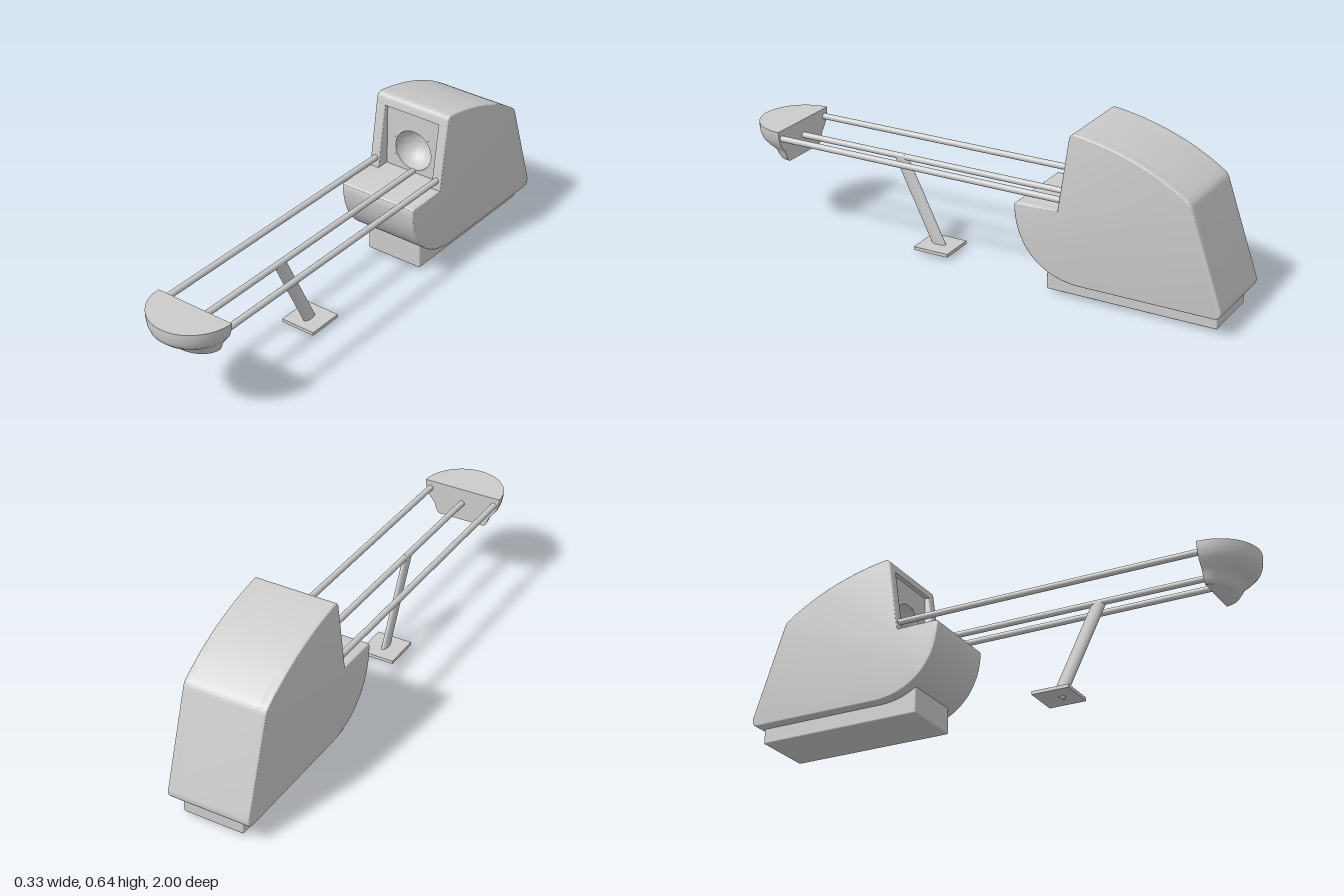
import * as THREE from 'three';
import { toCreasedNormals } from 'three/addons/utils/BufferGeometryUtils.js';
import { RoundedBoxGeometry } from 'three/addons/geometries/RoundedBoxGeometry.js';

const grey = new THREE.MeshStandardMaterial({ color: 0xcccccc });
const greyDouble = new THREE.MeshStandardMaterial({ color: 0xcccccc, side: THREE.DoubleSide });

const HALF_WIDTH = 0.164;
const RECESS_HALF = 0.123;
const RECESS_TOP = 0.592;
const PANEL_Z = -0.42;
const LEDGE_Y = 0.335;

// Skin through rows of points; closed joins the last point of each row to the first
function loft(rows, closed) {
  const n = rows[0].length;
  const index = [];
  for (let i = 0; i < rows.length - 1; i++) {
    for (let j = 0; j < (closed ? n : n - 1); j++) {
      const k = (j + 1) % n;
      const a = i * n + j, b = i * n + k, c = a + n, d = b + n;
      index.push(a, b, c, b, d, c);
    }
  }
  const geo = new THREE.BufferGeometry();
  geo.setAttribute('position', new THREE.Float32BufferAttribute(rows.flat(2), 3));
  geo.setIndex(index);
  return toCreasedNormals(geo, 0.6);
}

// Side outline in (z, y): over the hood, down the back, under and up the nose
function traceHull(path) {
  path.lineTo(-0.405, 0.612);
  path.quadraticCurveTo(-0.409, 0.636, -0.43, 0.634);
  path.quadraticCurveTo(-0.68, 0.60, -0.86, 0.474);
  path.quadraticCurveTo(-0.87, 0.466, -0.875, 0.45);
  path.lineTo(-0.996, 0.10);
  path.quadraticCurveTo(-1.005, 0.064, -0.97, 0.062);
  path.lineTo(-0.45, 0.062);
  path.bezierCurveTo(-0.30, 0.066, -0.195, 0.17, -0.192, 0.322);
  path.quadraticCurveTo(-0.192, LEDGE_Y, -0.205, LEDGE_Y);
  return path;
}

export function createModel() {
  const model = new THREE.Group();
  const add = (name, geo, x = 0, y = 0, z = 0, material = grey) => {
    const mesh = new THREE.Mesh(geo, material);
    mesh.name = name;
    mesh.position.set(x, y, z);
    model.add(mesh);
    return mesh;
  };

  // Housing sides: full-profile slabs with softened edges
  const bevel = 0.005;
  const thickness = HALF_WIDTH - RECESS_HALF;
  const profile = traceHull(new THREE.Shape().moveTo(-0.365, LEDGE_Y));
  const slab = toCreasedNormals(new THREE.ExtrudeGeometry(profile, {
    depth: thickness - 2 * bevel, curveSegments: 20,
    bevelSize: bevel, bevelThickness: bevel, bevelOffset: -bevel, bevelSegments: 3,
  }).rotateY(-Math.PI / 2).translate(thickness / 2 - bevel, 0, 0), 0.6);
  for (const [side, s] of [['left', 1], ['right', -1]]) {
    add(side + 'HousingSide', slab, s * (RECESS_HALF + thickness / 2));
  }

  // Housing skin between the sides, folded inward around the recess
  const fold = traceHull(new THREE.Path().moveTo(PANEL_Z, RECESS_TOP).lineTo(-0.402, RECESS_TOP));
  fold.lineTo(PANEL_Z, LEDGE_Y);
  const foldPoints = fold.getPoints(20);
  const skinRows = [0.156, -0.156].map(x => foldPoints.map(p => [x, p.y, p.x]));
  add('housingSkin', loft(skinRows, false), 0, 0, 0, greyDouble);

  // Recessed front panel with a round opening
  const holeY = 0.429;
  const holeR = 0.092;
  const w = RECESS_HALF + 0.005;
  const panel = new THREE.Shape()
    .moveTo(-w, LEDGE_Y).lineTo(w, LEDGE_Y).lineTo(w, RECESS_TOP).lineTo(-w, RECESS_TOP);
  panel.holes.push(new THREE.Path().absarc(0, holeY, holeR, 0, Math.PI * 2, true));
  add('recessPanel', new THREE.ShapeGeometry(panel, 32), 0, 0, PANEL_Z, greyDouble);

  // Flywheel bowl with a narrow rim
  const bowl = [new THREE.Vector2(holeR, 0), new THREE.Vector2(0.082, 0.001)];
  for (let i = 0; i <= 14; i++) {
    const a = (i / 14) * Math.PI / 2;
    bowl.push(new THREE.Vector2(0.082 * Math.cos(a), -0.082 * Math.sin(a)));
  }
  const bowlGeo = toCreasedNormals(new THREE.LatheGeometry(bowl, 48).rotateX(Math.PI / 2), 0.6);
  add('bowl', bowlGeo, 0, holeY, PANEL_Z, greyDouble);

  // Plinth under the housing
  add('plinth', new RoundedBoxGeometry(0.243, 0.117, 0.665, 3, 0.006), 0, 0.0615, -0.6375);

  // Rails: two outer, one lower in the middle
  const rail = (name, x, y, zBack) => {
    const length = 0.84 - zBack;
    add(name, new THREE.CylinderGeometry(0.012, 0.012, length, 20).rotateX(Math.PI / 2),
      x, y, zBack + length / 2);
  };
  rail('leftRail', 0.142, 0.371, -0.40);
  rail('rightRail', -0.142, 0.371, -0.40);
  rail('centreRail', 0, 0.34, PANEL_Z);

  // Front pod: half-oval sections [half width, depth, height], top to bottom
  const sections = [
    [0, 0, 0.403], [0.164, 0.17, 0.403], [0.163, 0.17, 0.385], [0.158, 0.168, 0.362],
    [0.149, 0.161, 0.342], [0.135, 0.142, 0.324], [0.125, 0.118, 0.312], [0.119, 0.1, 0.3],
    [0.114, 0.09, 0.284], [0.108, 0.081, 0.272], [0.098, 0.07, 0.265], [0, 0, 0.265],
  ];
  const podRows = sections.map(([a, b, y]) => Array.from({ length: 41 }, (_, j) => {
    const t = (j / 40) * Math.PI;
    return [a * Math.cos(t), y, 0.83 + b * Math.sin(t)];
  }));
  add('frontPod', loft(podRows, true));

  // Slanted oval leg on a flat foot plate
  const legBottom = new THREE.Vector3(0, 0.003, 0.215);
  const legTop = new THREE.Vector3(0, 0.34, 0.383);
  const span = legTop.clone().sub(legBottom);
  const leg = add('leg', new THREE.CylinderGeometry(1, 1, span.length(), 28).scale(0.012, 1, 0.027));
  leg.position.copy(legBottom).addScaledVector(span, 0.5);
  leg.rotation.x = Math.atan2(span.z, span.y);
  add('footPlate', new THREE.BoxGeometry(0.144, 0.013, 0.146), 0, 0.0085, 0.216);

  return model;
}
